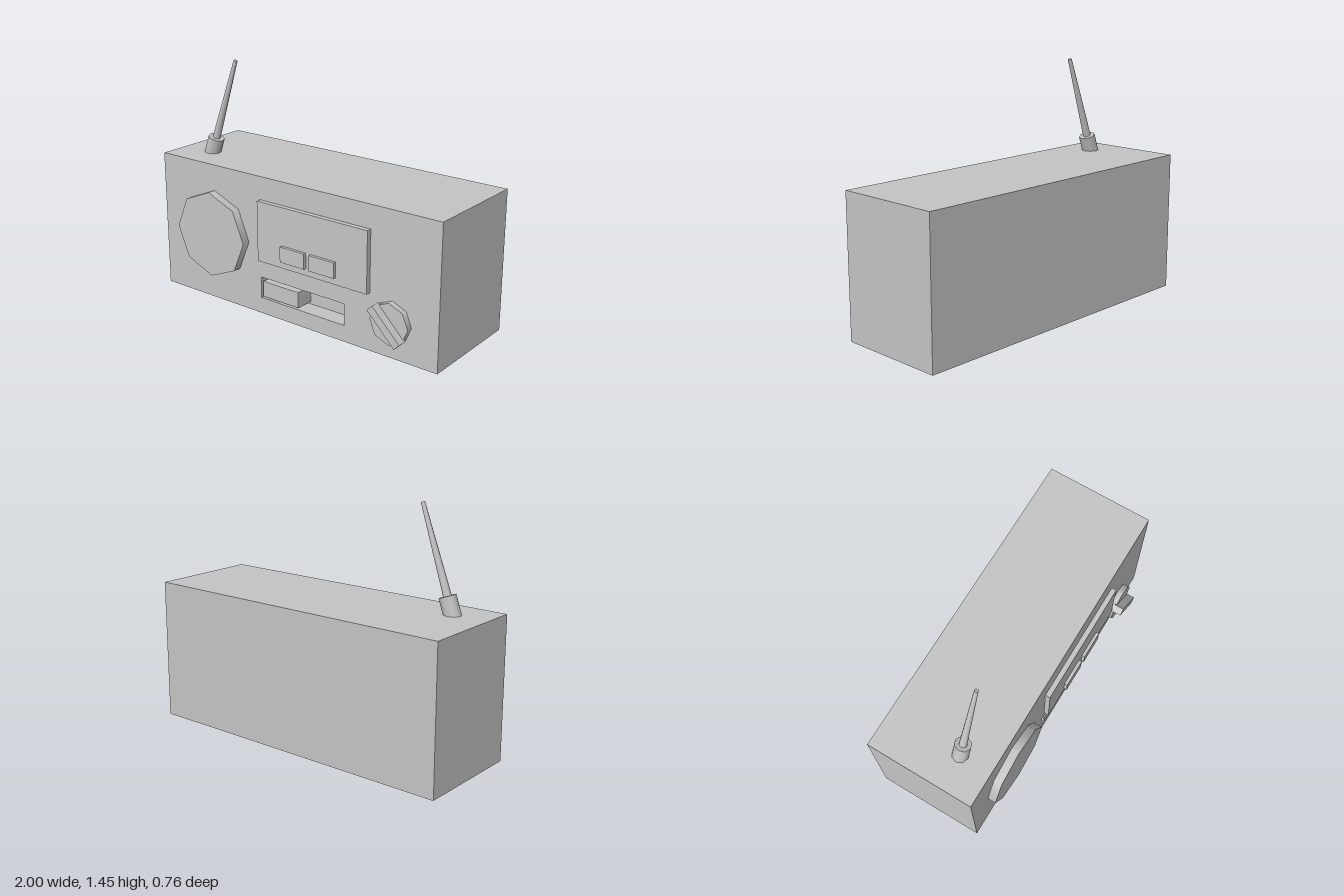
import * as THREE from 'three';

export function createModel() {
  const model = new THREE.Group();
  model.name = 'radio';
  const grey = new THREE.MeshStandardMaterial({ color: 0xc4c4c4 });
  grey.name = 'light grey';

  function add(name, geometry, parent = model) {
    const mesh = new THREE.Mesh(geometry, grey);
    mesh.name = name;
    parent.add(mesh);
    return mesh;
  }

  // Box given by its limits on each axis
  function box(name, x0, x1, y0, y1, z0, z1) {
    const mesh = add(name, new THREE.BoxGeometry(x1 - x0, y1 - y0, z1 - z0));
    mesh.position.set((x0 + x1) / 2, (y0 + y1) / 2, (z0 + z1) / 2);
    return mesh;
  }

  // Eight-sided disc facing the front
  function disc(name, x, y, radius, z0, z1) {
    const geometry = new THREE.CylinderGeometry(radius, radius, z1 - z0, 8);
    geometry.rotateX(Math.PI / 2);
    const mesh = add(name, geometry);
    mesh.position.set(x, y, (z0 + z1) / 2);
  }

  const front = 0.29, slotBack = 0.18, height = 0.855;

  // Case: solid back, and a front layer with the slot cut through it
  box('caseBack', -1, 1, 0, height, -0.38, slotBack);
  const outline = new THREE.Shape([[-1, 0], [1, 0], [1, height], [-1, height]]
    .map(([x, y]) => new THREE.Vector2(x, y)));
  outline.holes.push(new THREE.Path([[-0.225, 0.1], [-0.225, 0.232], [0.385, 0.232], [0.385, 0.1]]
    .map(([x, y]) => new THREE.Vector2(x, y))));
  const frontLayer = new THREE.ExtrudeGeometry(outline, { depth: front - slotBack, bevelEnabled: false });
  add('caseFront', frontLayer).position.z = slotBack;

  // Slider sitting in the slot
  box('slider', -0.205, 0.06, 0.115, 0.212, slotBack, 0.296);

  // Speaker
  disc('speaker', -0.582, 0.43, 0.266, front, 0.341);

  // Display panel with two push buttons
  box('displayPanel', -0.215, 0.562, 0.35, 0.718, 0.296, 0.327);
  for (const x of [-0.032, 0.177]) box('pushButton', x, x + 0.175, 0.393, 0.487, 0.327, 0.346);

  // Tuning knob and its slanted grip
  disc('tuningKnob', 0.707, 0.216, 0.124, front, 0.326);
  const grip = box('knobGrip', 0.579, 0.833, 0.192, 0.24, 0.315, 0.377);
  grip.rotation.z = -Math.PI / 4;

  // Tilted antenna: socket and tapering rod, with the origin at the socket top
  const antenna = new THREE.Group();
  antenna.name = 'antenna';
  antenna.position.set(-0.745, 0.954, 0.088);
  antenna.rotation.z = -0.338;
  model.add(antenna);
  add('antennaSocket', new THREE.CylinderGeometry(0.05, 0.05, 0.16, 8), antenna).position.y = -0.08;
  add('antennaRod', new THREE.CylinderGeometry(0.012, 0.024, 0.524, 8), antenna).position.y = 0.262;

  return model;
}
